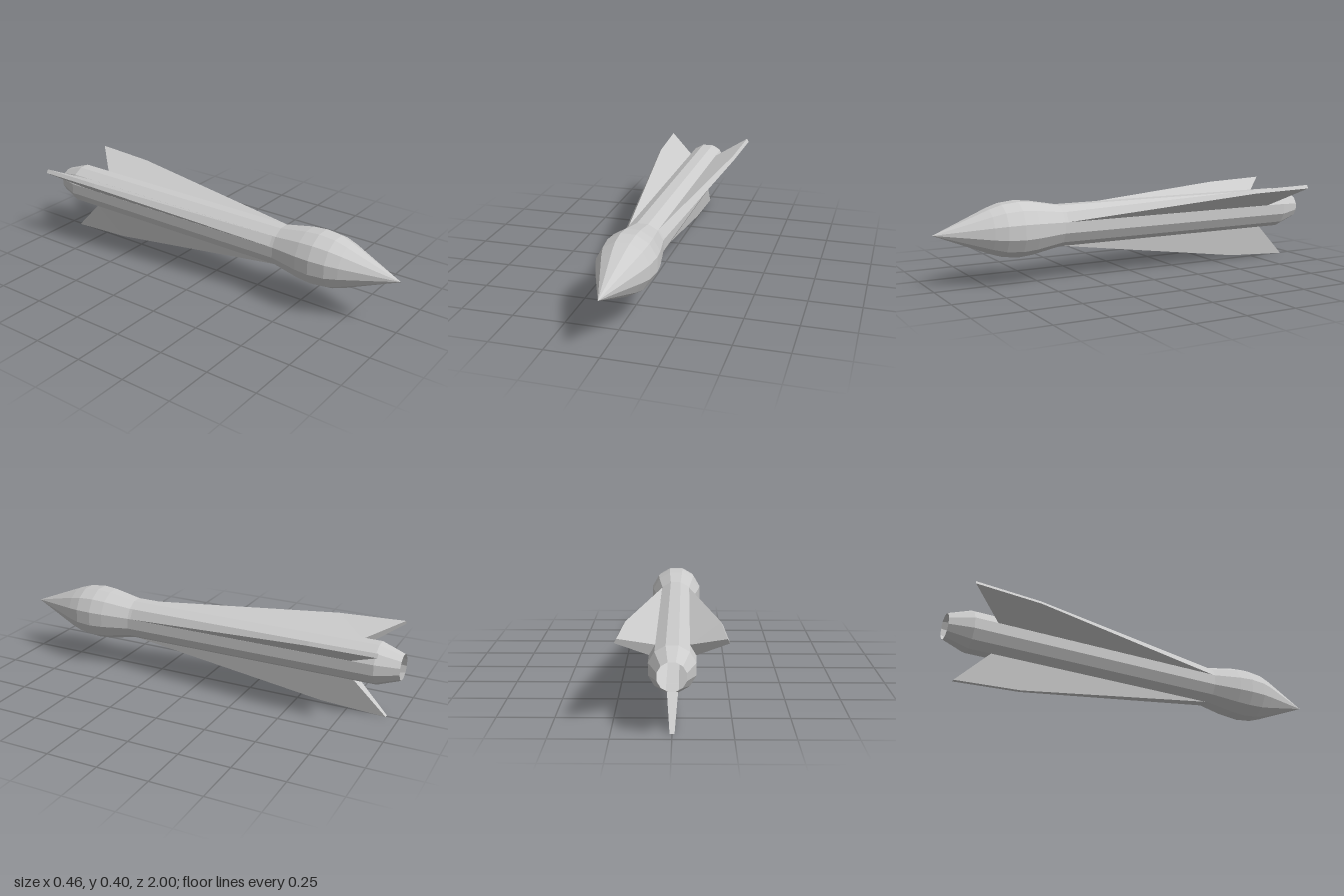
import * as THREE from 'three';

const AXIS_Y = 0.262;
const SIDES = 12;

// Twelve-sided body: profile of [z, distance from axis to flat], tail to nose, open at the tail
function createBody(material) {
  const profile = [
    [-1, 0.06], [-0.89, 0.098], [0.39, 0.098], [0.53, 0.124], [0.6, 0.13],
    [0.68, 0.122], [0.74, 0.103], [1, 0],
  ];
  const toCorner = 1 / Math.cos(Math.PI / SIDES);
  const points = profile.map(([z, r]) => new THREE.Vector2(r * toCorner, z));
  const geometry = new THREE.LatheGeometry(points, SIDES, Math.PI / SIDES);
  geometry.rotateX(Math.PI / 2);
  const mesh = new THREE.Mesh(geometry, material);
  mesh.name = 'body';
  return mesh;
}

// Swept fin pointing down: outline in (z, radius), wide at the root and thin at the edge
function createFinGeometry() {
  const outline = [[-0.78, 0.097], [0.38, 0.097], [-0.62, 0.242], [-0.94, 0.259]];
  const shape = new THREE.Shape(outline.map(([z, r]) => new THREE.Vector2(z, r)));
  const geometry = new THREE.ExtrudeGeometry(shape, { depth: 1, bevelEnabled: false });
  const p = geometry.attributes.position;
  for (let i = 0; i < p.count; i++) {
    const z = p.getX(i), r = p.getY(i), side = p.getZ(i) * 2 - 1;
    const halfWidth = r < 0.1 ? 0.026 : 0.01;
    p.setXYZ(i, side * halfWidth, -r, z);
  }
  geometry.computeVertexNormals();
  return geometry;
}

export function createModel() {
  const model = new THREE.Group();
  model.name = 'rocket';
  const material = new THREE.MeshStandardMaterial({
    color: 0xcccccc, flatShading: true, side: THREE.DoubleSide,
  });

  const body = createBody(material);
  body.position.y = AXIS_Y;
  model.add(body);

  // Three fins evenly spaced around the body
  const finGeometry = createFinGeometry();
  ['bottomFin', 'leftFin', 'rightFin'].forEach((name, i) => {
    const fin = new THREE.Mesh(finGeometry, material);
    fin.name = name;
    fin.position.y = AXIS_Y;
    fin.rotation.z = (i * Math.PI * 2) / 3;
    model.add(fin);
  });

  return model;
}
